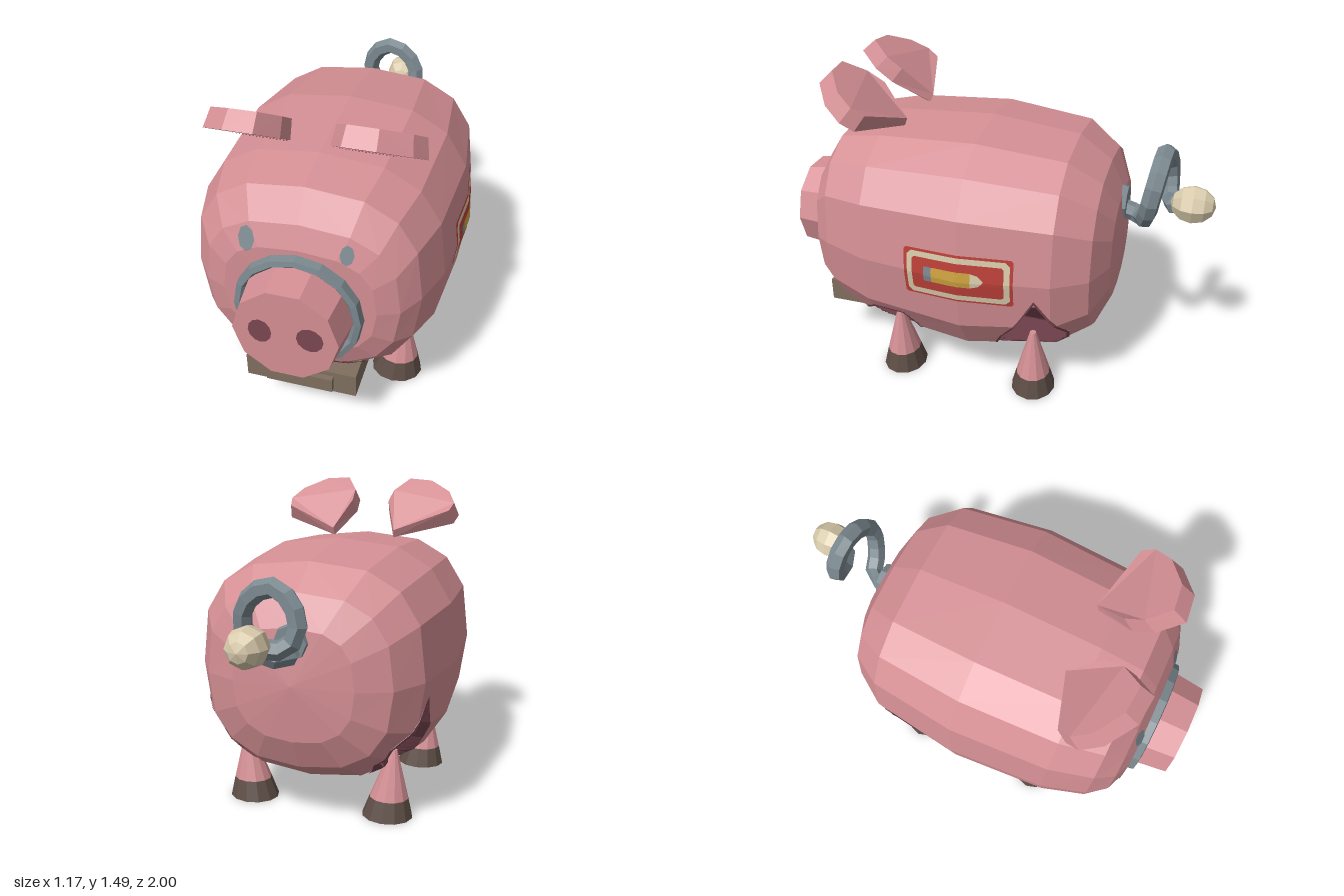
import * as THREE from 'three';

const mat = (name, color, side = THREE.FrontSide) => {
  const m = new THREE.MeshStandardMaterial({ color, flatShading: true, side });
  m.name = name;
  return m;
};
const D = THREE.DoubleSide;
const M = {
  pink: mat('pink', 0xd48f94), rose: mat('darkRose', 0x7a4752, D), steel: mat('steel', 0x7b8990, D),
  brown: mat('brown', 0x7f6f60), hoof: mat('hoofBrown', 0x5e4e46), cream: mat('cream', 0xd8caab, D),
  red: mat('red', 0xbc4038, D), yellow: mat('yellow', 0xcda23f, D),
};
const V = (p) => new THREE.Vector3(...p);
function surface(pos, idx) {
  const geo = new THREE.BufferGeometry();
  geo.setAttribute('position', new THREE.Float32BufferAttribute(pos, 3));
  if (idx) geo.setIndex(idx);
  geo.computeVertexNormals();
  return geo;
}

// Hip hollows as (z, y) outlines, and the distance of their inner wall from the middle
const hips = {
  front: [[0.49, 0.42], [0.33, 0.42], [0.28, 0.32], [0.26, 0.23], [0.28, 0.2], [0.45, 0.22], [0.56, 0.245],
    [0.585, 0.33]],
  rear: [[-0.3, 0.62], [-0.385, 0.5], [-0.44, 0.4], [-0.43, 0.32], [-0.36, 0.245], [-0.2, 0.2], [-0.05, 0.19],
    [-0.13, 0.36], [-0.22, 0.48]],
};
const wall = (y) => 0.35 + 0.9 * Math.max(0, y - 0.4);
const inside = (poly, u, v) => poly.reduce((odd, [u0, v0], i) => {
  const [u1, v1] = poly[(i + 1) % poly.length];
  return (v0 > v) !== (v1 > v) && u < u0 + ((v - v0) / (v1 - v0)) * (u1 - u0) ? !odd : odd;
}, false);
const hollow = (p) => Math.abs(p.x) > wall(p.y) && Object.values(hips).some((h) => inside(h, p.z, p.y));

// Copies a triangle, leaving out what lies in a hollow
function carve(a, b, c, depth, out) {
  const near = Math.min(a.y, b.y, c.y) < 0.63 && Math.min(a.z, b.z, c.z) < 0.59 && Math.max(a.z, b.z, c.z) > -0.45
    && Math.max(Math.abs(a.x), Math.abs(b.x), Math.abs(c.x)) > 0.34;
  if (near && depth > 0) {
    const [ab, bc, ca] = [[a, b], [b, c], [c, a]].map(([p, q]) => p.clone().lerp(q, 0.5));
    for (const t of [[a, ab, ca], [ab, b, bc], [ca, bc, c], [ab, bc, ca]]) carve(...t, depth - 1, out);
  } else if (!near || ![a, b, c].every(hollow)) {
    for (const p of [a, b, c]) out.push(p.x, p.y, p.z);
  }
}

export function createModel() {
  const root = new THREE.Group();
  root.name = 'piggyBank';
  const add = (name, geo, material, pos = [0, 0, 0], parent = root) => {
    const mesh = new THREE.Mesh(geo, material);
    mesh.name = name;
    mesh.position.set(...pos);
    parent.add(mesh);
    return mesh;
  };

  // Barrel body: rounded sections [z, half width, bottom, top] from front to back, fuller at the top
  const sections = [
    [0.825, 0, 0.69, 0.69], [0.822, 0.33, 0.44, 0.96], [0.785, 0.42, 0.34, 1.06], [0.7, 0.49, 0.26, 1.185],
    [0.5, 0.55, 0.19, 1.225], [0.04, 0.58, 0.13, 1.25], [-0.37, 0.53, 0.2, 1.2], [-0.52, 0.43, 0.3, 1.09],
    [-0.585, 0.28, 0.44, 0.95], [-0.61, 0, 0.7, 0.7],
  ];
  const N = 16, verts = [], faces = [];
  const power = (c, n) => Math.sign(c) * Math.abs(c) ** (2 / n);
  sections.forEach(([z, rx, lo, hi], i) => {
    for (let j = 0; j < N; j++) {
      const a = (j / N) * Math.PI * 2, n = j < N / 2 ? 2.75 : 2.5;
      verts.push([rx * power(Math.cos(a), n), (lo + hi) / 2 + ((hi - lo) / 2) * power(Math.sin(a), n), z]);
      const p = i * N + j, q = i * N + ((j + 1) % N), last = sections.length - 2;
      if (i <= last) faces.push(p, p + N, i < last ? q + N : q);
      if (i > 0 && i < last) faces.push(p, q + N, q);
    }
  });
  const skin = new THREE.Mesh(surface(verts.flat(), faces), M.rose);
  const carved = [];
  for (let i = 0; i < faces.length; i += 3) {
    carve(...faces.slice(i, i + 3).map((k) => V(verts[k])), 5, carved);
  }
  add('body', surface(carved), M.pink);

  // Thin patch laid on the skin; outline is (x, y) for the front or (z, y) for a side.
  // A sunken patch drops to the hip wall inside its rim.
  const ray = new THREE.Raycaster();
  function patch(name, outline, dir, offset, material, sunken = false) {
    const front = dir === 'front', side = front ? 1 : dir;
    const pts = outline.map(([u, v]) => new THREE.Vector2(u, v));
    if ((THREE.ShapeUtils.area(pts) > 0) !== (front || side < 0)) pts.reverse();
    const centre = pts.reduce((s, p) => s.add(p), new THREE.Vector2()).divideScalar(pts.length);
    const rim = pts.flatMap((p, i) => [0, 1, 2, 3, 4, 5].map((k) => p.clone().lerp(pts[(i + 1) % pts.length], k / 6)));
    const pos = [], idx = [], R = 14, n = rim.length;
    for (let r = 0; r <= R; r++) for (let j = 0; j < n; j++) {
      const p = centre.clone().lerp(rim[j], r / R);
      ray.set(V(front ? [p.x, p.y, 3] : [3 * side, p.y, p.x]), V(front ? [0, 0, -1] : [-side, 0, 0]));
      const at = ray.intersectObject(skin)[0].point;
      const out = V(front ? [0, (at.y - 0.69) * 2, 1] : [at.x, at.y - 0.69, 0]);
      at.addScaledVector(out.normalize(), offset);
      if (sunken && r < R - 1) at.x = side * Math.min(Math.abs(at.x), wall(at.y) - 0.004);
      if (sunken && Math.abs(at.x) < wall(at.y) - 0.005) at.addScaledVector(out, 0.003);
      pos.push(at.x, at.y, at.z);
      const a = r * n + j, b = r * n + ((j + 1) % n);
      if (r < R) idx.push(a, a + n, b + n);
      if (r > 0 && r < R) idx.push(a, b + n, b);
    }
    add(name, surface(pos, idx), material);
  }
  // Rectangle with corners cut by c
  const rect = (u0, u1, v0, v1, c) => [[u0 + c, v0], [u1 - c, v0], [u1, v0 + c], [u1, v1 - c],
    [u1 - c, v1], [u0 + c, v1], [u0, v1 - c], [u0, v0 + c]];
  const oval = (x, y, rx, ry) => Array.from({ length: 8 }, (_, i) =>
    [x + rx * Math.cos((i * Math.PI) / 4), y + ry * Math.sin((i * Math.PI) / 4)]);

  // Eyes
  patch('rightEye', oval(-0.215, 0.97, 0.037, 0.053), 'front', 0.006, M.steel);
  patch('leftEye', oval(0.205, 0.97, 0.029, 0.041), 'front', 0.006, M.steel);

  // Side label with a crayon picture, on the left flank only
  patch('labelBack', rect(-0.212, 0.285, 0.58, 0.815, 0.01), 1, 0.003, M.red);
  patch('labelFrame', rect(-0.198, 0.27, 0.59, 0.803, 0.02), 1, 0.0045, M.cream);
  patch('labelPanel', rect(-0.172, 0.245, 0.618, 0.777, 0.01), 1, 0.006, M.red);
  patch('crayonEnd', rect(0.153, 0.19, 0.665, 0.738, 0.005), 1, 0.0075, M.steel);
  patch('crayonBody', rect(-0.025, 0.155, 0.665, 0.738, 0.003), 1, 0.0075, M.yellow);
  patch('crayonTip', [[-0.023, 0.665], [-0.023, 0.738], [-0.06, 0.728], [-0.085, 0.702], [-0.06, 0.676]],
    1, 0.0075, M.cream);

  // Snout, steel ring and nostrils
  const snoutGeo = new THREE.CylinderGeometry(0.224, 0.25, 0.2, 10).rotateY(Math.PI / 10).rotateX(Math.PI / 2);
  add('snout', snoutGeo, M.pink, [0, 0.665, 0.9]);
  const ringProfile = [[0.26, -0.04], [0.28, -0.02], [0.275, 0.02], [0.25, 0.025], [0.235, 0.01]]
    .map((p) => new THREE.Vector2(...p));
  add('snoutRing', new THREE.LatheGeometry(ringProfile, 16).rotateX(Math.PI / 2), M.steel, [0, 0.66, 0.84]);
  for (const s of [-1, 1]) {
    const nostril = add('nostril', new THREE.CircleGeometry(1, 12), M.rose, [s * 0.105, 0.672, 1.002]);
    nostril.scale.set(s < 0 ? 0.05 : 0.057, 0.06, 1);
  }

  // Coin drawer under the snout, on a dark surround
  patch('drawerSurround', rect(-0.265, 0.265, 0.2, 0.37, 0.02), 'front', 0.008, M.rose);
  add('drawer', new THREE.BoxGeometry(0.5, 0.115, 0.26), M.brown, [0, 0.284, 0.715]);
  add('drawerPanel', new THREE.BoxGeometry(0.3, 0.07, 0.03), M.brown, [0, 0.284, 0.855]);

  // Legs with hooves, standing in the dark hip hollows
  for (const s of [-1, 1]) for (const [end, z] of [['front', 0.41], ['rear', -0.26]]) {
    patch(end + 'Hip', hips[end], s, 0.004, M.rose, true);
    const leg = new THREE.Group();
    leg.name = end + 'Leg';
    leg.position.set(s * 0.34, 0, z);
    root.add(leg);
    // Cone leaning slightly outwards
    const cone = (r0, r1, y0, y1) => new THREE.CylinderGeometry(r1, r0, y1 - y0, 12)
      .translate(0, (y0 + y1) / 2, 0).applyMatrix4(new THREE.Matrix4().set(
        1.15, s * 0.08, 0, 0, 0, 1, 0, 0, 0, 0, 1, 0, 0, 0, 0, 1));
    add('shin', cone(0.08, 0.015, 0.095, 0.33), M.pink, [0, 0, 0], leg);
    add('hoof', cone(0.105, 0.08, 0, 0.095), M.hoof, [0, 0, 0], leg);
  }

  // Ears: thick leaves sloping up and forward, domed on top, with a dark inner face
  const earOutline = [[0.16, 0], [0.45, 0.13], [0.465, 0.2], [0.42, 0.3], [0.3, 0.4], [0.17, 0.415],
    [0.1, 0.3], [0.09, 0.2]];
  const innerOutline = [[0.16, 0.01], [0.3, 0.08], [0.35, 0.17], [0.31, 0.24], [0.2, 0.26], [0.11, 0.24], [0.1, 0.19]];
  const shapeOf = (pts) => new THREE.Shape(pts.map((p) => new THREE.Vector2(...p)));
  const earGeo = new THREE.ExtrudeGeometry(shapeOf(earOutline), { depth: 0.09, bevelEnabled: false });
  const ep = earGeo.attributes.position;
  for (let i = 0; i < ep.count; i++) {
    const x = ep.getX(i), y = ep.getY(i);
    if (ep.getZ(i) > 0.01) ep.setZ(i, 0);
    else ep.setXYZ(i, 0.22 + (x - 0.22) * 0.93, 0.1 + (y - 0.1) * 0.92, -Math.min(0.085, 0.04 + y * 0.35));
  }
  earGeo.computeVertexNormals();
  for (const s of [-1, 1]) {
    const ear = new THREE.Group();
    ear.name = s > 0 ? 'leftEar' : 'rightEar';
    ear.position.set(0, 1.21, 0.42);
    ear.rotation.x = 1;
    ear.scale.x = s;
    root.add(ear);
    add('earLeaf', earGeo, M.pink, [0, 0, 0], ear);
    add('innerEar', new THREE.ShapeGeometry(shapeOf(innerOutline)), M.rose, [0, 0, 0.004], ear);
  }

  // Curly steel tail with a cream knob
  const socket = new THREE.CylinderGeometry(0.075, 0.09, 0.05, 8).rotateX(-Math.PI / 2);
  add('tailSocket', socket, M.steel, [0, 0.89, -0.58]);
  const curl = new THREE.CatmullRomCurve3([
    [0, 0.86, -0.57], [0, 0.835, -0.66], [0.1, 0.87, -0.7], [0.155, 1, -0.725], [0.1, 1.115, -0.745],
    [0, 1.155, -0.755], [-0.08, 1.1, -0.77], [-0.11, 1, -0.78], [-0.06, 0.92, -0.79], [0.03, 0.92, -0.82],
    [0.05, 0.95, -0.87]].map(V));
  add('tailCurl', new THREE.TubeGeometry(curl, 16, 0.043, 6), M.steel);
  const knobGeo = new THREE.SphereGeometry(0.088, 8, 6).rotateX(Math.PI / 2).scale(1, 1, 1.13);
  add('tailKnob', knobGeo, M.cream, [0.05, 0.945, -0.9]);

  return root;
}
